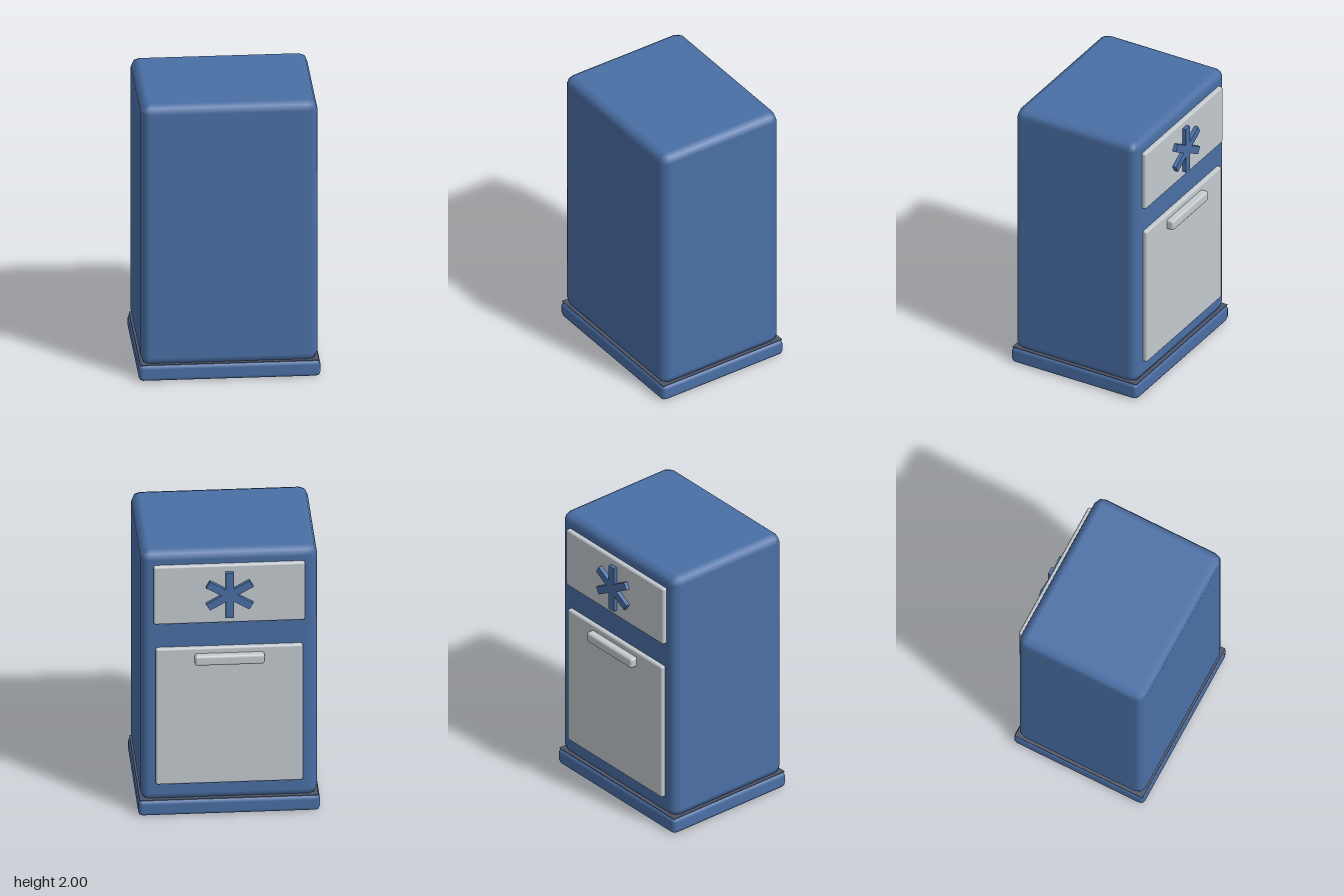
import * as THREE from 'three';
import { RoundedBoxGeometry } from 'three/addons/geometries/RoundedBoxGeometry.js';

export function createModel() {
  const material = (name, color) => {
    const m = new THREE.MeshStandardMaterial({ color });
    m.name = name;
    return m;
  };
  const blue = material('blue enamel', 0x4a6fa5);
  const grey = material('light grey', 0xc4cacf);
  const dark = material('dark slate', 0x4e5468);

  const model = new THREE.Group();
  model.name = 'cabinet';

  // Softly bevelled box given by its limits on each axis
  function box(name, mat, [x0, x1], [y0, y1], [z0, z1], radius) {
    const geometry = new RoundedBoxGeometry(x1 - x0, y1 - y0, z1 - z0, 1, radius);
    const mesh = new THREE.Mesh(geometry, mat);
    mesh.name = name;
    mesh.position.set((x0 + x1) / 2, (y0 + y1) / 2, (z0 + z1) / 2);
    model.add(mesh);
    return mesh;
  }

  // Plinth with its dark top, and the main body
  box('plinth', blue, [-0.617, 0.617], [0, 0.12], [-0.467, 0.527], 0.03);
  const top = new THREE.Mesh(new THREE.BoxGeometry(1.215, 0.004, 0.975), dark);
  top.name = 'plinthTop';
  top.position.set(0, 0.119, 0.03);
  model.add(top);
  box('body', blue, [-0.6, 0.6], [0.105, 2], [-0.447, 0.51], 0.06);

  // Upper panel, door and handle on the rear side
  box('upperPanel', grey, [-0.515, 0.515], [1.465, 1.905], [-0.478, -0.43], 0.015);
  box('door', grey, [-0.5, 0.5], [0.245, 1.28], [-0.478, -0.43], 0.015);
  box('handle', grey, [-0.238, 0.238], [1.165, 1.24], [-0.53, -0.465], 0.018);

  // Six-armed star from three crossed bars
  const star = new THREE.Group();
  star.name = 'starOrnament';
  star.position.set(0, 1.685, -0.488);
  for (let i = 0; i < 3; i++) {
    const bar = new THREE.Mesh(new THREE.BoxGeometry(0.054, 0.34, 0.036), blue);
    bar.name = 'starBar';
    bar.rotation.z = (i * Math.PI) / 3;
    star.add(bar);
  }
  model.add(star);

  return model;
}
